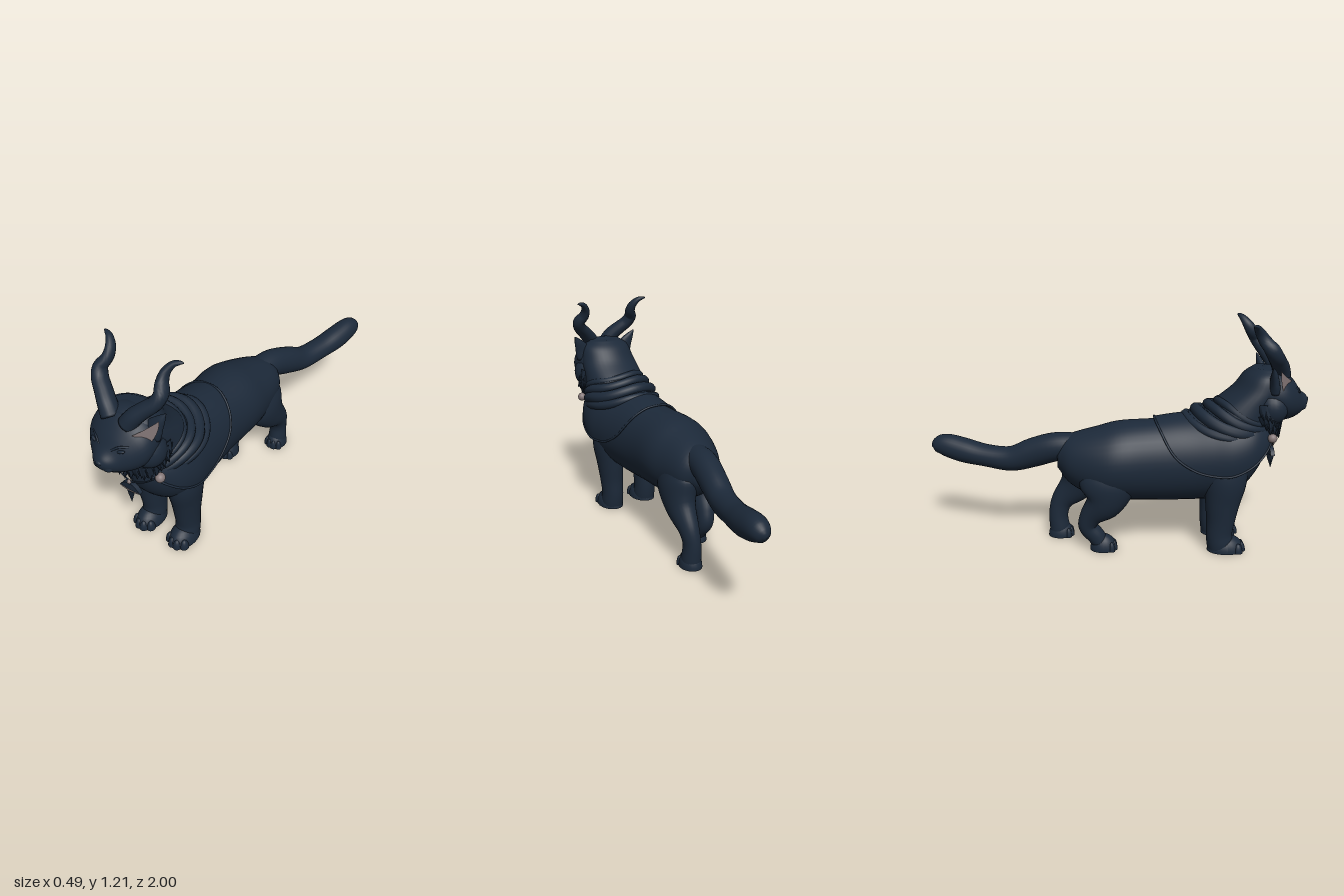
import * as THREE from 'three';

const V = (x, y, z) => new THREE.Vector3(x, y, z);
const UP = V(0, 1, 0), FRONT = V(0, 0, 1);

// Smooth closed skin through elliptical rings; rows are [x, y, z, halfWidth, halfDepth].
// Rings face `axis` when given, otherwise they follow the path.
function loft(rows, { axis = null, ref = FRONT, sides = 28, steps = 5 } = {}) {
  const path = new THREE.CatmullRomCurve3(rows.map(r => V(r[0], r[1], r[2])), false, 'catmullrom', 0.5);
  const size = new THREE.CatmullRomCurve3(rows.map(r => V(r[3], r[4], 0)), false, 'catmullrom', 0.5);
  const n = (rows.length - 1) * steps, pos = [], idx = [];
  for (let i = 0; i <= n; i++) {
    const c = path.getPoint(i / n), s = size.getPoint(i / n);
    const dir = axis || path.getTangent(i / n);
    const u = V().crossVectors(ref, dir).normalize(), v = V().crossVectors(dir, u).normalize();
    for (let j = 0; j < sides; j++) {
      const t = j / sides * Math.PI * 2;
      const p = c.clone().addScaledVector(u, s.x * Math.cos(t)).addScaledVector(v, s.y * Math.sin(t));
      pos.push(p.x, p.y, p.z);
    }
  }
  const first = pos.length / 3, a = rows[0], b = rows[rows.length - 1];
  pos.push(a[0], a[1], a[2], b[0], b[1], b[2]);
  for (let j = 0; j < sides; j++) {
    const k = (j + 1) % sides;
    for (let i = 0; i < n; i++) {
      const p = i * sides, q = p + sides;
      idx.push(p + j, p + k, q + j, p + k, q + k, q + j);
    }
    idx.push(first, k, j, first + 1, n * sides + j, n * sides + k);
  }
  const g = new THREE.BufferGeometry();
  g.setAttribute('position', new THREE.Float32BufferAttribute(pos, 3));
  g.setIndex(idx);
  g.computeVertexNormals();
  return g;
}

const blob = (x, y, z, a, b, c, tilt = 0) =>
  new THREE.SphereGeometry(1, 24, 16).scale(a, b, c).rotateZ(tilt).translate(x, y, z);

// Rounded top with a flat sole on the ground
function dome(x, z, a, b, c) {
  const g = new THREE.SphereGeometry(1, 24, 16).scale(a, b, c), p = g.attributes.position;
  for (let i = 0; i < p.count; i++) p.setY(i, Math.max(0, p.getY(i)));
  g.computeVertexNormals();
  return g.translate(x, 0, z);
}

// Cone running from its base to its tip
function spike(from, to, r, sides = 6) {
  const d = to.clone().sub(from), len = d.length();
  return new THREE.ConeGeometry(r, len, sides).translate(0, len / 2, 0)
    .applyQuaternion(new THREE.Quaternion().setFromUnitVectors(UP, d.normalize()))
    .translate(from.x, from.y, from.z);
}

const tube = (pts, r, closed = false, n = 48) =>
  new THREE.TubeGeometry(new THREE.CatmullRomCurve3(pts, closed), n, r, 10, closed);

export function createModel() {
  const model = new THREE.Group();
  const navy = new THREE.MeshStandardMaterial({ color: 0x1c2939 });
  navy.name = 'dark navy';
  const cloth = navy.clone();
  cloth.name = 'dark navy cloth';
  cloth.side = THREE.DoubleSide;
  const pale = new THREE.MeshStandardMaterial({ color: 0x857878 });
  pale.name = 'greyish rose';
  const add = (name, geo, mat = navy) => {
    const m = new THREE.Mesh(geo, mat);
    m.name = name;
    model.add(m);
    return m;
  };

  // Torso, neck, head and tail
  add('torso', loft([
    [.02, .5, -.31, .06, .07], [.01, .48, -.24, .13, .135], [-.015, .47, -.1, .178, .19],
    [-.02, .48, .02, .195, .21], [-.015, .48, .2, .183, .219], [-.008, .485, .4, .188, .227],
    [-.01, .507, .55, .205, .235], [-.005, .54, .66, .187, .212], [0, .565, .74, .13, .145], [0, .57, .785, .05, .05],
  ], { axis: FRONT, ref: UP, sides: 36 }));
  add('neck', loft([
    [0, .5, .53, .19, .22], [0, .62, .56, .183, .22], [0, .7, .62, .175, .2], [0, .78, .675, .165, .175],
    [0, .86, .735, .155, .135], [0, .93, .76, .135, .105], [0, .968, .77, .085, .065],
  ], { axis: UP, sides: 36 }));
  add('head', loft([
    [0, .84, .68, .11, .08], [0, .845, .74, .15, .12], [0, .84, .8, .168, .137], [0, .822, .86, .16, .13],
    [0, .803, .91, .122, .1], [0, .785, .95, .075, .062], [0, .786, .98, .042, .036], [0, .79, .993, .018, .015],
  ], { axis: FRONT, ref: UP, sides: 36 }));
  add('tail', loft([
    [.01, .55, -.2, .07, .07], [.03, .54, -.32, .072, .077], [.06, .5, -.44, .068, .078],
    [.09, .457, -.56, .064, .067], [.13, .463, -.7, .064, .06], [.165, .482, -.82, .066, .067],
    [.19, .505, -.92, .058, .062], [.2, .505, -.975, .04, .042], [.203, .503, -1, .01, .012],
  ], { ref: UP }));

  // Face
  add('nose', blob(0, .797, .984, .019, .012, .015));
  add('chin', blob(0, .74, .932, .03, .022, .03));
  for (const s of [-1, 1]) {
    add('cheek', blob(s * .098, .783, .785, .087, .095, .085, s * .25));
    add('muzzlePad', blob(s * .024, .766, .955, .032, .025, .03));
    add('eye', blob(s * .07, .85, .924, .025, .008, .012, s * .25));
    add('brow', tube([V(s * .035, .85, .94), V(s * .065, .869, .923), V(s * .1, .871, .9)], .005, false, 12));
  }

  // Ruff of fur tufts around the jaw, longest under the chin
  for (let row = 0; row < 3; row++) for (let i = -8; i <= 8; i++) {
    const t = (i + (row % 2) * .5) * .22, sx = Math.sin(t), cz = Math.cos(t);
    const y = .785 - row * .026 - .045 * cz, wob = .01 * Math.sin(i * 5 + row * 2);
    add('ruffTuft', spike(V(.148 * sx, y, .745 + .085 * cz),
      V((.188 - row * .014) * sx, y - .062 - .03 * cz + wob, .748 + .104 * cz), .034));
  }

  // Ears with outward-turned lining, and horns
  for (const s of [-1, 1]) {
    add('ear', loft([
      [s * .128, .87, .785, .045, .03], [s * .143, .92, .78, .042, .024],
      [s * .17, .965, .77, .023, .016], [s * .192, 1, .76, .003, .003],
    ]));
    const shape = new THREE.Shape();
    shape.moveTo(s * .098, .917);
    shape.quadraticCurveTo(s * .14, .94, s * .187, .985);
    shape.quadraticCurveTo(s * .185, .925, s * .16, .878);
    shape.closePath();
    const inner = new THREE.ShapeGeometry(shape, 8), p = inner.attributes.position;
    for (let i = 0; i < p.count; i++) p.setZ(i, .876 - (Math.abs(p.getX(i)) - .1) * .9);
    inner.computeVertexNormals();
    add('innerEar', inner, pale);
    add('horn', loft([
      [s * .045, .93, .84, .044, .046], [s * .075, .975, .825, .041, .045], [s * .115, 1.015, .8, .037, .042],
      [s * .153, 1.05, .775, .034, .04], [s * .167, 1.088, .75, .031, .038], [s * .15, 1.125, .72, .026, .032],
      [s * .151, 1.162, .695, .021, .026], [s * .172, 1.193, .672, .015, .018],
      [s * .198, 1.204, .66, .009, .011], [s * .215, 1.206, .655, .003, .003],
    ], { sides: 18 }));
  }

  // Legs and paws
  const paw = (x, z, a, c) => {
    add('paw', dome(x, z, a, .085, c));
    for (let i = 0; i < 4; i++) {
      const k = (i - 1.5) / 1.5;
      add('toe', dome(x + k * a * .64, z + c * (.8 - .22 * k * k), a * .32, .05, c * .25));
    }
  };
  for (const s of [-1, 1]) {
    const x = d => -.015 + s * d;
    add('frontLeg', loft([
      [x(.115), .52, .56, .075, .11], [x(.12), .4, .56, .083, .11], [x(.116), .28, .55, .073, .092],
      [x(.112), .18, .545, .065, .077], [x(.11), .1, .54, .061, .07], [x(.11), .05, .545, .062, .07],
      [x(.11), .01, .55, .06, .068],
    ]));
    paw(x(.11), .578, .071, .1);
  }
  add('hindLeg', loft([
    [.075, .5, -.14, .07, .12], [.088, .4, -.16, .083, .14], [.1, .3, -.21, .07, .1], [.105, .21, -.29, .052, .062],
    [.1, .13, -.315, .045, .052], [.1, .05, -.31, .05, .055], [.1, .01, -.305, .05, .055],
  ]));
  paw(.1, -.302, .058, .07);
  add('hindLeg', loft([
    [-.1, .5, -.04, .07, .12], [-.11, .38, -.05, .09, .15], [-.115, .28, -.07, .072, .105],
    [-.1, .2, -.135, .052, .062], [-.09, .135, -.155, .045, .05], [-.087, .08, -.115, .045, .048],
    [-.086, .042, -.09, .044, .044],
  ]));
  paw(-.086, -.072, .058, .072);

  // Cape draped over the shoulders; rows are [z, centreY, halfWidth, halfHeight, hemY]
  const cape = [
    [.2, .48, .192, .229, .7], [.28, .485, .198, .236, .56], [.38, .49, .208, .243, .485],
    [.48, .5, .22, .25, .455], [.58, .515, .229, .25, .455], [.68, .54, .212, .23, .5],
    [.75, .57, .17, .165, .56], [.79, .6, .12, .08, .61]];
  const mid = new THREE.CatmullRomCurve3(cape.map(r => V(r[0], r[1], r[4])), false, 'catmullrom');
  const dim = new THREE.CatmullRomCurve3(cape.map(r => V(r[2], r[3], 0)), false, 'catmullrom');
  const NU = 32, NV = 40, pos = [], idx = [], hem = [[], []];
  for (let i = 0; i <= NV; i++) {
    const m = mid.getPoint(i / NV), d = dim.getPoint(i / NV);
    const t0 = Math.asin(THREE.MathUtils.clamp((m.z - m.y) / d.y, -1, 1));
    for (let j = 0; j <= NU; j++) {
      const t = t0 + (Math.PI - 2 * t0) * j / NU;
      const q = V(-.01 + d.x * Math.cos(t), m.y + d.y * Math.sin(t), m.x);
      pos.push(q.x, q.y, q.z);
      if (j === 0) hem[0].push(q);
      if (j === NU) hem[1].push(q);
      if (i < NV && j < NU) {
        const a = i * (NU + 1) + j, b = a + NU + 1;
        idx.push(a, a + 1, b, a + 1, b + 1, b);
      }
    }
  }
  const capeGeo = new THREE.BufferGeometry();
  capeGeo.setAttribute('position', new THREE.Float32BufferAttribute(pos, 3));
  capeGeo.setIndex(idx);
  capeGeo.computeVertexNormals();
  add('cape', capeGeo, cloth);
  add('capeHem', tube([...hem[1].reverse(), ...hem[0]], .006, false, 120));

  // Scarf folds gathered at the front; each is [backY, backZ, frontY, frontZ, halfWidth, thickness]
  for (const [by, bz, fy, fz, w, r] of [
    [.705, .36, .58, .765, .186, .024], [.738, .415, .61, .775, .178, .032],
    [.772, .475, .64, .785, .168, .026], [.795, .525, .67, .79, .156, .02]]) {
    const pts = [];
    for (let i = 0; i < 20; i++) {
      const t = i / 20 * Math.PI * 2, k = (1 + Math.cos(t)) / 2;
      pts.push(V(w * Math.sin(t), fy + (by - fy) * k + .009 * Math.sin(3 * t + by * 20), fz + (bz - fz) * k));
    }
    add('scarfFold', tube(pts, r, true, 72));
  }

  // Clasps and pendant
  for (const s of [-1, 1]) add('clasp', blob(s * .154, .63, .785, .023, .024, .024), pale);
  add('cord', tube([V(-.14, .62, .785), V(-.07, .572, .812), V(0, .555, .824), V(.07, .572, .812), V(.14, .62, .785)], .004));
  add('pendantBead', blob(0, .551, .828, .011, .011, .01), pale);
  const crescent = new THREE.Shape();
  crescent.moveTo(-.06, .502);
  crescent.quadraticCurveTo(-.035, .54, 0, .54);
  crescent.quadraticCurveTo(.035, .54, .06, .502);
  crescent.quadraticCurveTo(0, .492, -.06, .502);
  add('pendantCrescent', new THREE.ExtrudeGeometry(crescent, { depth: .022, bevelEnabled: false }).translate(0, 0, .808));
  add('pendantRim', tube([V(-.055, .502, .829), V(0, .497, .831), V(.055, .502, .829)], .003, false, 16), pale);
  add('pendantBlade', spike(V(0, .497, .82), V(0, .415, .825), .024, 4));

  return model;
}
